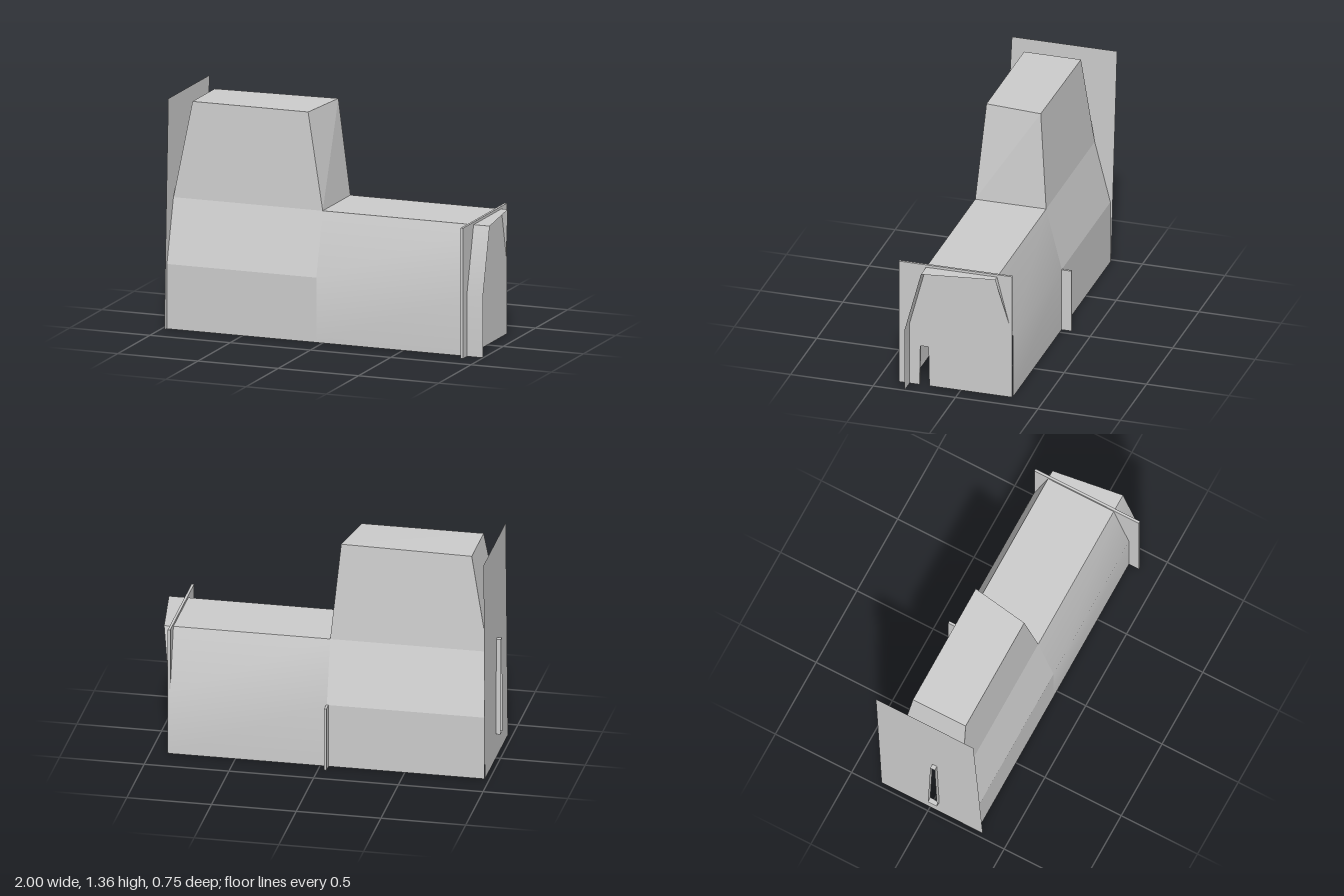
import * as THREE from 'three';

const material = new THREE.MeshStandardMaterial({ color: 0xcccccc, side: THREE.DoubleSide });

// Sheet from rows of points, each row running left to right as seen from outside, bottom row first
function sheet(name, rows, smooth = false) {
  const cols = rows[0].length, index = [];
  for (let r = 0; r < rows.length - 1; r++) {
    for (let c = 0; c < cols - 1; c++) {
      const a = r * cols + c, d = a + cols;
      index.push(a, a + 1, d + 1, a, d + 1, d);
    }
  }
  let geo = new THREE.BufferGeometry();
  geo.setAttribute('position', new THREE.Float32BufferAttribute(rows.flat(2), 3));
  geo.setIndex(index);
  if (!smooth) geo = geo.toNonIndexed();
  geo.computeVertexNormals();
  const mesh = new THREE.Mesh(geo, material);
  mesh.name = name;
  return mesh;
}

// Upright panel across the body at a given x; outline and hole points are [z, y]
function panel(name, x, outline, depth, hole) {
  const points = (list) => list.map(([z, y]) => new THREE.Vector2(-z, y));
  const shape = new THREE.Shape(points(outline));
  if (hole) shape.holes.push(new THREE.Path(points(hole)));
  const geo = depth
    ? new THREE.ExtrudeGeometry(shape, { depth, bevelEnabled: false })
    : new THREE.ShapeGeometry(shape);
  geo.rotateY(Math.PI / 2);
  const mesh = new THREE.Mesh(geo, material);
  mesh.position.x = x;
  mesh.name = name;
  return mesh;
}

export function createModel() {
  const model = new THREE.Group();
  const end = -0.97, mid = -0.04;
  const knee = 0.385, deck = 0.76, roof = 1.335;

  // Cab side walls: upright, leaning in above the knee, then steeper to the roof
  const f = [[end, roof - 1.335, 0.31], [mid, 0, 0.31]];
  const b = [[mid, 0, -0.315], [end, 0, -0.315]];
  const lift = (row, y, z) => row.map(([x]) => [x, y, z]);
  const roofFront = [[-0.865, 1.33, 0.175], [-0.145, 1.33, 0.175]];
  const roofBack = [[-0.095, 1.34, -0.17], [-0.865, 1.33, -0.17]];
  const deckFront = lift(f, deck, 0.21);
  const deckBack = lift(b, deck, -0.22);
  model.add(
    sheet('cabFrontWall', [f, lift(f, knee, 0.31), deckFront, roofFront]),
    sheet('cabBackWall', [b, lift(b, knee, -0.315), deckBack, roofBack]),
    sheet('cabRoof', [roofFront, [roofBack[1], roofBack[0]]]),
    sheet('cabInnerSlope', [[deckFront[1], deckBack[0]], [roofFront[1], roofBack[0]]]),
    sheet('cabOuterSlope', [[deckBack[1], deckFront[0]], [roofBack[1], roofFront[0]]])
  );

  // Low hood, open at its end, with a slanting rim
  const hoodFront = [[0, 0.31], [knee, 0.31], [deck, 0.21]]
    .map(([y, z]) => [[mid, y, z], [1, y, z]]);
  const hoodBack = [[0, -0.315, 0.89], [knee, -0.315, 0.89], [deck, -0.22, 0.94]]
    .map(([y, z, x]) => [[x, y, z], [mid, y, z]]);
  model.add(
    sheet('hoodFrontWall', hoodFront, true),
    sheet('hoodBackWall', hoodBack, true),
    sheet('hoodTop', [hoodFront[2], [hoodBack[2][1], hoodBack[2][0]]])
  );

  // Slotted panel near the open end of the hood
  model.add(panel('hoodEndPanel', 0.885, [
    [0.375, 0], [0.25, 0], [0.245, 0.25], [0.195, 0.25], [0.19, 0],
    [-0.31, 0], [-0.31, 0.775], [0.375, 0.775],
  ], 0.015));

  // Low bulkhead whose tab passes out through the back wall
  model.add(panel('bulkhead', -0.05, [
    [0.305, 0], [-0.19, 0], [-0.195, 0.25], [-0.245, 0.25], [-0.25, 0],
    [-0.375, 0], [-0.375, knee], [0.305, knee],
  ], 0.015));

  // Tall end plate with a slot
  const slot = [[0.06, 0.15], [0.045, 0.74], [0.015, 0.74], [0, 0.15]];
  model.add(panel('cabEndPlate', end - 0.003, [
    [0.345, 0], [-0.318, 0], [-0.328, knee], [-0.355, 1.36], [0.283, 1.36], [0.311, 0.775],
  ], 0, slot));

  // Raised rim around the slot
  const ring = (x) => [...slot, slot[0]].map(([z, y]) => [x, y, z]);
  model.add(sheet('slotRim', [ring(-1), ring(end)]));

  return model;
}
